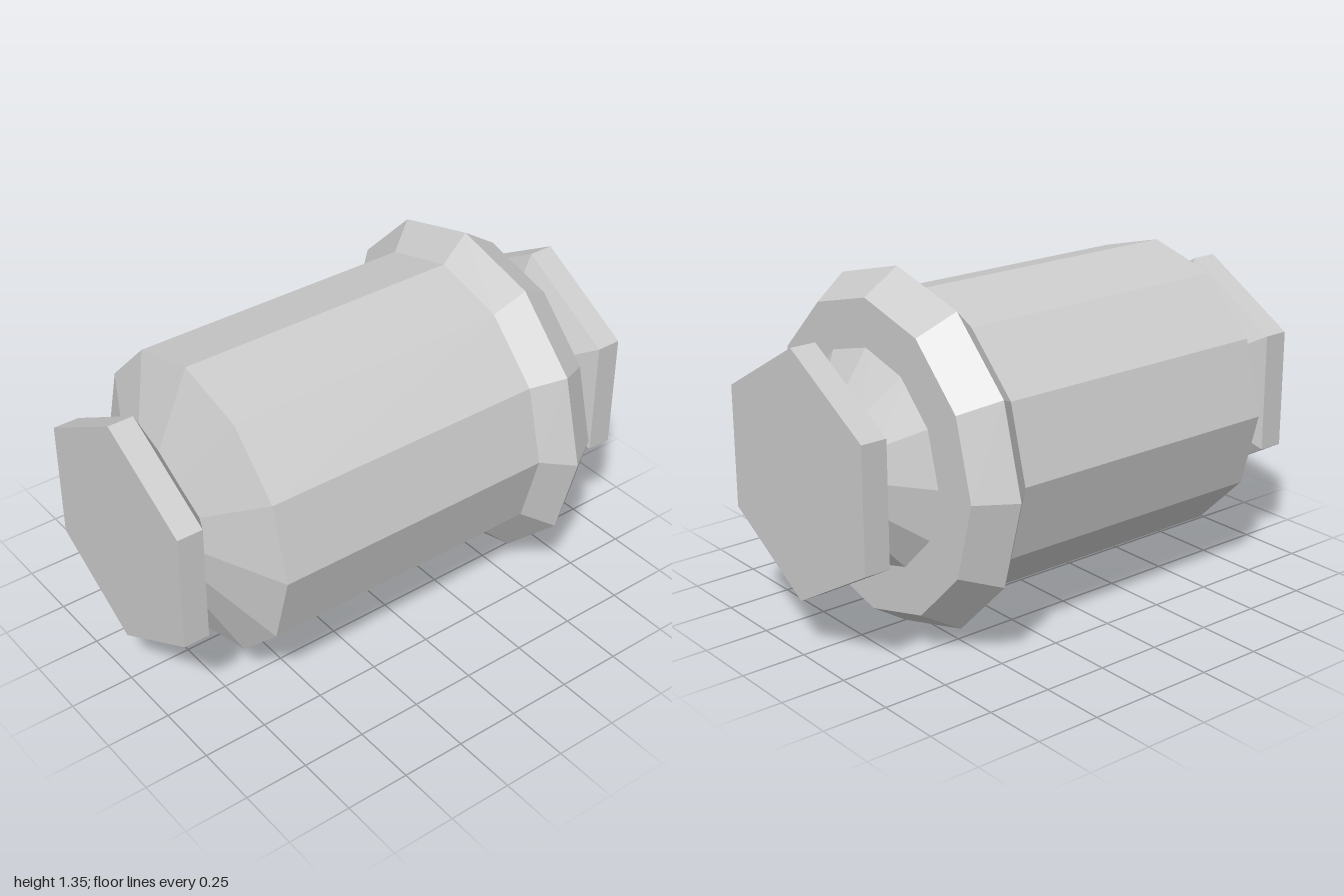
import * as THREE from 'three';

const AXIS_HEIGHT = 0.675;
const material = new THREE.MeshStandardMaterial({ color: 0xcccccc, flatShading: true });

// Faceted solid turned around the x axis; profile is [x, radius] from -x to +x,
// with a corner of the polygon pointing straight up.
function turned(name, profile, sides) {
  const points = profile.map(([x, r]) => new THREE.Vector2(r, x));
  const geometry = new THREE.LatheGeometry(points, sides, Math.PI / 2);
  geometry.rotateZ(-Math.PI / 2);
  const mesh = new THREE.Mesh(geometry, material);
  mesh.name = name;
  mesh.position.y = AXIS_HEIGHT;
  return mesh;
}

export function createModel() {
  const model = new THREE.Group();
  model.name = 'canister';

  // Twelve-sided barrel with a tapered left end
  model.add(turned('barrel', [
    [-0.83, 0], [-0.83, 0.235], [-0.685, 0.575], [0.5, 0.575], [0.5, 0],
  ], 12));

  // Flared collar near the right end
  model.add(turned('collar', [
    [0.455, 0], [0.455, 0.575], [0.555, 0.675], [0.695, 0.585], [0.695, 0],
  ], 12));

  // Cone rising out of the collar face
  model.add(turned('endCone', [
    [0.65, 0], [0.65, 0.47], [0.815, 0.235], [0.815, 0],
  ], 12));

  // Hexagonal rod and its flared end caps
  const flare = [[0.81, 0.275], [0.9, 0.465], [1, 0.465], [1, 0]];
  const mirrored = flare.map(([x, r]) => [-x, r]).reverse();
  model.add(turned('hexRodAndCaps', [...mirrored, ...flare], 6));

  return model;
}
